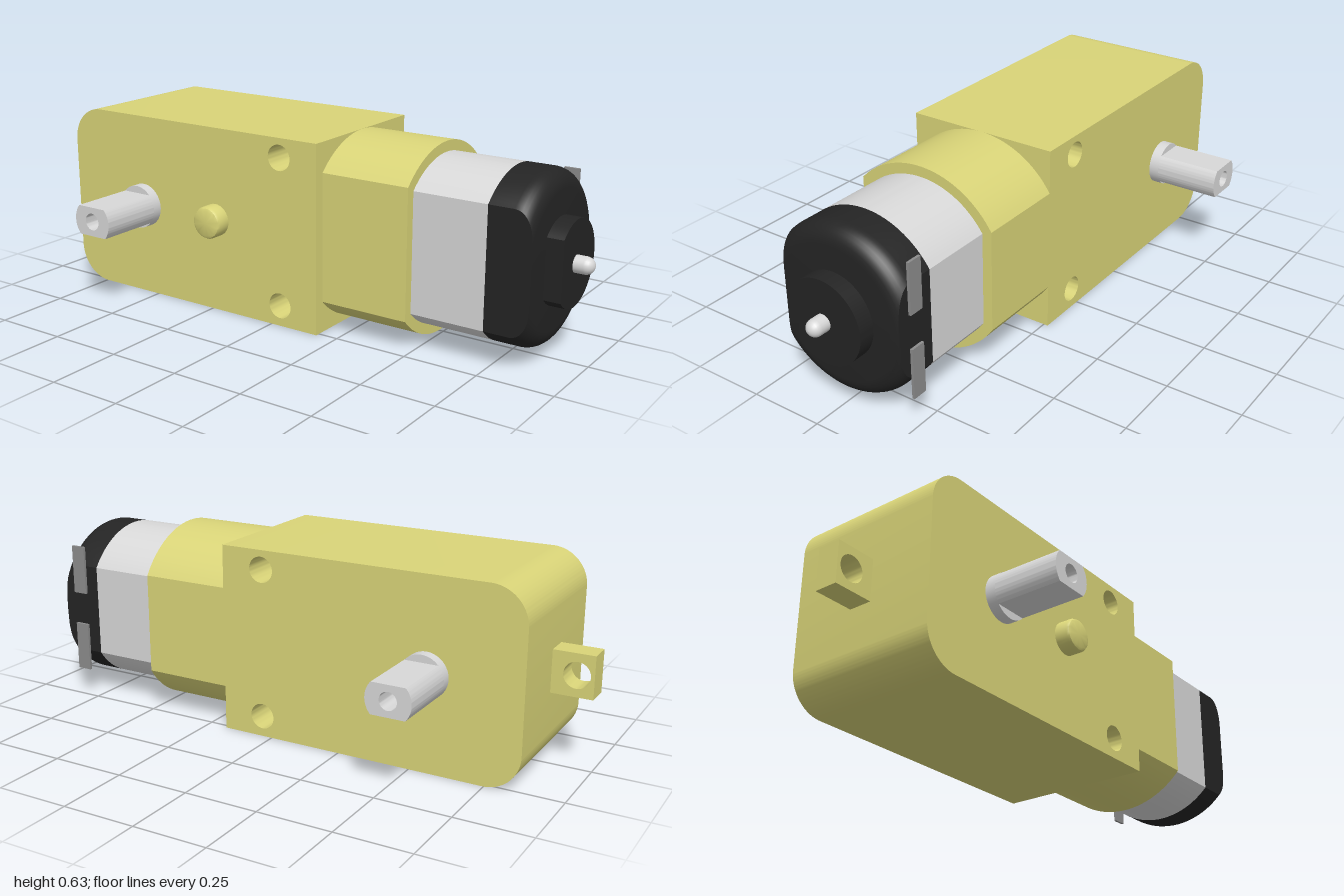
import * as THREE from 'three';
import { toCreasedNormals } from 'three/addons/utils/BufferGeometryUtils.js';

const MID = 0.32; // height of the motor and shaft axes

const paint = (name, color) => {
  const m = new THREE.MeshStandardMaterial({ color });
  m.name = name;
  return m;
};

// Round section along x, cut flat at zMin and zMax; stations are [x, radius]
function flattedRound(stations, zMin, zMax, n = 28) {
  const pos = [], idx = [], count = 2 * (n + 1);
  const angle = (z, r) => Math.asin(THREE.MathUtils.clamp(z / r, -0.999, 0.999));
  for (const [x, r] of stations) {
    const a0 = angle(zMin, r), a1 = angle(zMax, r);
    for (let i = 0; i < count; i++) {
      const top = i <= n;
      const k = top ? i / n : (count - 1 - i) / n;
      const t = a0 + (a1 - a0) * k;
      pos.push(x, (top ? 1 : -1) * r * Math.cos(t), r * Math.sin(t));
    }
  }
  const last = (stations.length - 1) * count;
  const c0 = pos.length / 3, c1 = c0 + 1;
  pos.push(stations[0][0], 0, 0, stations[stations.length - 1][0], 0, 0);
  for (let i = 0; i < count; i++) {
    const j = (i + 1) % count;
    for (let s = 0; s < last; s += count) {
      idx.push(s + i, s + j, s + count + j, s + i, s + count + j, s + count + i);
    }
    idx.push(c0, j, i, c1, last + i, last + j);
  }
  const g = new THREE.BufferGeometry();
  g.setAttribute('position', new THREE.Float32BufferAttribute(pos, 3));
  g.setIndex(idx);
  return toCreasedNormals(g.toNonIndexed(), 0.5);
}

// Plate extruded along z between z0 and z1
function plate(shape, z0, z1) {
  const g = new THREE.ExtrudeGeometry(shape, { depth: z1 - z0, bevelEnabled: false, curveSegments: 20 });
  g.translate(0, 0, z0);
  return toCreasedNormals(g, 0.5);
}

function drill(shape, x, y, r) {
  shape.holes.push(new THREE.Path().absarc(x, y, r, 0, Math.PI * 2, true));
}

export function createModel() {
  const yellow = paint('yellow plastic', 0xd9d478);
  const silver = paint('silver metal', 0xd8d8d8);
  const black = paint('black plastic', 0x242424);
  const grey = paint('terminal grey', 0x8c8c8c);
  const model = new THREE.Group();
  model.name = 'gearMotor';
  const add = (name, geometry, material, x = 0, y = 0, z = 0) => {
    const mesh = new THREE.Mesh(geometry, material);
    mesh.name = name;
    mesh.position.set(x, y, z);
    model.add(mesh);
    return mesh;
  };

  // Gearbox with two rounded corners and two screw holes
  const L = -0.865, R = 0.18, H = 0.635, C = 0.12;
  const box = new THREE.Shape();
  box.moveTo(R, 0);
  box.lineTo(R, H);
  box.lineTo(L + C, H);
  box.absarc(L + C, H - C, C, Math.PI / 2, Math.PI, false);
  box.lineTo(L, C);
  box.absarc(L + C, C, C, Math.PI, Math.PI * 1.5, false);
  box.closePath();
  for (const y of [0.07, 0.57]) drill(box, 0.035, y, 0.043);
  add('gearbox', plate(box, -0.265, 0.265), yellow);

  // Mounting tab
  const tab = new THREE.Shape();
  tab.moveTo(-1, 0.25);
  tab.lineTo(L, 0.25);
  tab.lineTo(L, 0.39);
  tab.lineTo(-1, 0.39);
  tab.closePath();
  drill(tab, -0.945, MID, 0.043);
  add('mountingTab', plate(tab, -0.04, 0.04), yellow);

  // Locating pin with a softened rim
  const pinProfile = [[0, 0], [0.055, 0], [0.055, 0.044], [0.051, 0.052], [0.043, 0.056], [0, 0.056]]
    .map(([r, h]) => new THREE.Vector2(r, h));
  const pin = toCreasedNormals(new THREE.LatheGeometry(pinProfile, 32).toNonIndexed(), 0.5);
  add('locatingPin', pin, yellow, -0.23, MID, 0.264).rotation.x = Math.PI / 2;

  // Output shaft: round collar, double-flat end with a blind hole, both sides
  const cut = Math.asin(0.05 / 0.075);
  const flats = new THREE.Shape();
  flats.absarc(0, 0, 0.075, -cut, cut, false);
  flats.absarc(0, 0, 0.075, Math.PI - cut, Math.PI + cut, false);
  flats.closePath();
  drill(flats, 0, 0, 0.029);
  const collar = new THREE.CylinderGeometry(0.075, 0.075, 0.6, 40);
  add('shaftCollar', collar, silver, -0.55, MID, 0).rotation.x = Math.PI / 2;
  add('frontShaft', plate(flats, 0.3, 0.52), silver, -0.55, MID);
  add('backShaft', plate(flats, -0.52, -0.3), silver, -0.55, MID);

  // Motor sleeve, can, rounded end cap and bearing boss
  add('motorSleeve', flattedRound([[R, 0.315], [0.49, 0.315]], -0.265, 0.23), yellow, 0, MID);
  add('motorCan', flattedRound([[0.48, 0.28], [0.74, 0.28]], -0.232, 0.198), silver, 0, MID);
  const capStations = [[0.74, 0.28]];
  for (let i = 0; i <= 8; i++) {
    const a = (i / 8) * Math.PI / 2;
    capStations.push([0.825 + 0.06 * Math.sin(a), 0.22 + 0.06 * Math.cos(a)]);
  }
  add('endCap', flattedRound(capStations, -0.232, 0.198), black, 0, MID);
  add('bearingBoss', flattedRound([[0.88, 0.14], [0.94, 0.14]], -0.1398, 0.1), black, 0, MID);

  // Motor shaft tip with a domed end
  const tipProfile = [new THREE.Vector2(0.028, 0)];
  for (let i = 0; i <= 6; i++) {
    const a = (i / 6) * Math.PI / 2;
    tipProfile.push(new THREE.Vector2(0.028 * Math.cos(a), 0.042 + 0.028 * Math.sin(a)));
  }
  add('motorShaftTip', new THREE.LatheGeometry(tipProfile, 24), silver, 0.93, MID).rotation.z = -Math.PI / 2;

  // Pair of solder terminals on the back flat
  for (const side of [-1, 1]) {
    add(side > 0 ? 'upperTerminal' : 'lowerTerminal', new THREE.BoxGeometry(0.052, 0.17, 0.009),
      grey, 0.813, MID + side * 0.142, -0.2365);
  }
  return model;
}
